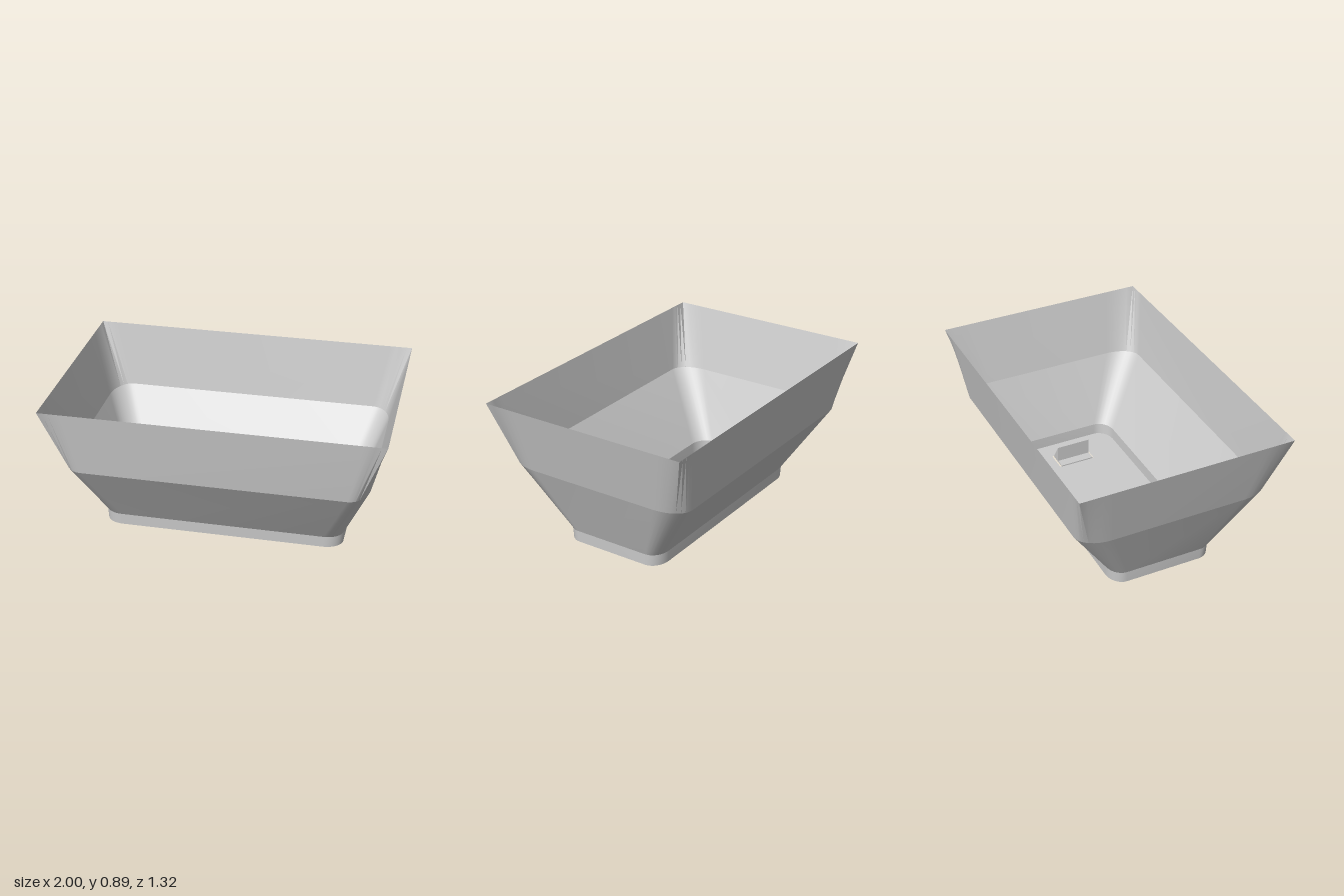
import * as THREE from 'three';
import { toCreasedNormals } from 'three/addons/utils/BufferGeometryUtils.js';

const FLOOR = 0.008;
const SEG = 8; // segments per corner

const material = new THREE.MeshStandardMaterial({ color: 0xcccccc, side: THREE.DoubleSide });

// Closed rectangular ring (half sizes w, d) with corners cut back by cx, cz;
// corners are rounded, or kept square when sharp is true.
function ring(y, w, d, cx, cz, sharp = false) {
  const points = [];
  for (let q = 0; q < 4; q++) {
    const sx = q === 0 || q === 3 ? 1 : -1;
    const sz = q < 2 ? 1 : -1;
    for (let i = 0; i <= SEG; i++) {
      const t = q % 2 === 0 ? i / SEG : 1 - i / SEG;
      const a = t * Math.PI / 2;
      const u = sharp ? Math.min(1, 2 - 2 * t) : Math.cos(a);
      const v = sharp ? Math.min(1, 2 * t) : Math.sin(a);
      points.push(new THREE.Vector3(sx * (w - cx + cx * u), y, sz * (d - cz + cz * v)));
    }
  }
  return points;
}

// Band of wall between two rings, facing outwards
function band(name, lower, upper) {
  const n = lower.length;
  const pos = [];
  for (let i = 0; i < n; i++) {
    const j = (i + 1) % n;
    for (const p of [lower[i], upper[i], lower[j], upper[i], upper[j], lower[j]]) pos.push(p.x, p.y, p.z);
  }
  const geometry = new THREE.BufferGeometry();
  geometry.setAttribute('position', new THREE.Float32BufferAttribute(pos, 3));
  const mesh = new THREE.Mesh(toCreasedNormals(geometry, 0.5), material);
  mesh.name = name;
  return mesh;
}

const polygon = (pts) => pts.map(([x, y]) => new THREE.Vector2(x, y));

export function createModel() {
  const group = new THREE.Group();
  group.name = 'basket';

  // Thin walls: upright foot, flared body, square rim
  const base = ring(FLOOR, 0.73, 0.328, 0.11, 0.09);
  const foot = ring(0.08, 0.733, 0.332, 0.11, 0.09);
  const waist = ring(0.5, 0.9, 0.6, 0.115, 0.18);
  const rim = ring(0.9, 1, 0.66, 0.13, 0.19, true);
  group.add(band('footWall', base, foot));
  group.add(band('flaredWall', foot, waist));
  group.add(band('rimWall', waist, rim));

  // Floor with a U-shaped slit around each clip tongue
  const outline = new THREE.Shape(base.map((p) => new THREE.Vector2(p.x, -p.z)));
  for (const s of [1, -1]) {
    outline.holes.push(new THREE.Path(polygon([
      [0.48, 0.12], [0.61, 0.12], [0.61, -0.12], [0.48, -0.12],
      [0.48, -0.11], [0.6, -0.11], [0.6, 0.11], [0.48, 0.11],
    ].map(([x, y]) => [s * x, y]))));
  }
  const floor = new THREE.Mesh(new THREE.ShapeGeometry(outline), material);
  floor.name = 'floor';
  floor.rotation.x = -Math.PI / 2;
  floor.position.y = FLOOR;
  group.add(floor);

  // Snap clips: a tongue ending in a wedge that slopes outwards
  const profile = new THREE.Shape(polygon([
    [0.478, 0], [0.6, 0], [0.6, 0.01], [0.537, 0.11], [0.537, 0.008], [0.478, 0.008],
  ]));
  const clipGeometry = new THREE.ExtrudeGeometry(profile, { depth: 0.22, bevelEnabled: false });
  clipGeometry.translate(0, FLOOR, -0.11);
  ['leftClip', 'rightClip'].forEach((name, i) => {
    const clip = new THREE.Mesh(clipGeometry, material);
    clip.name = name;
    clip.rotation.y = i * Math.PI;
    group.add(clip);
  });

  return group;
}
